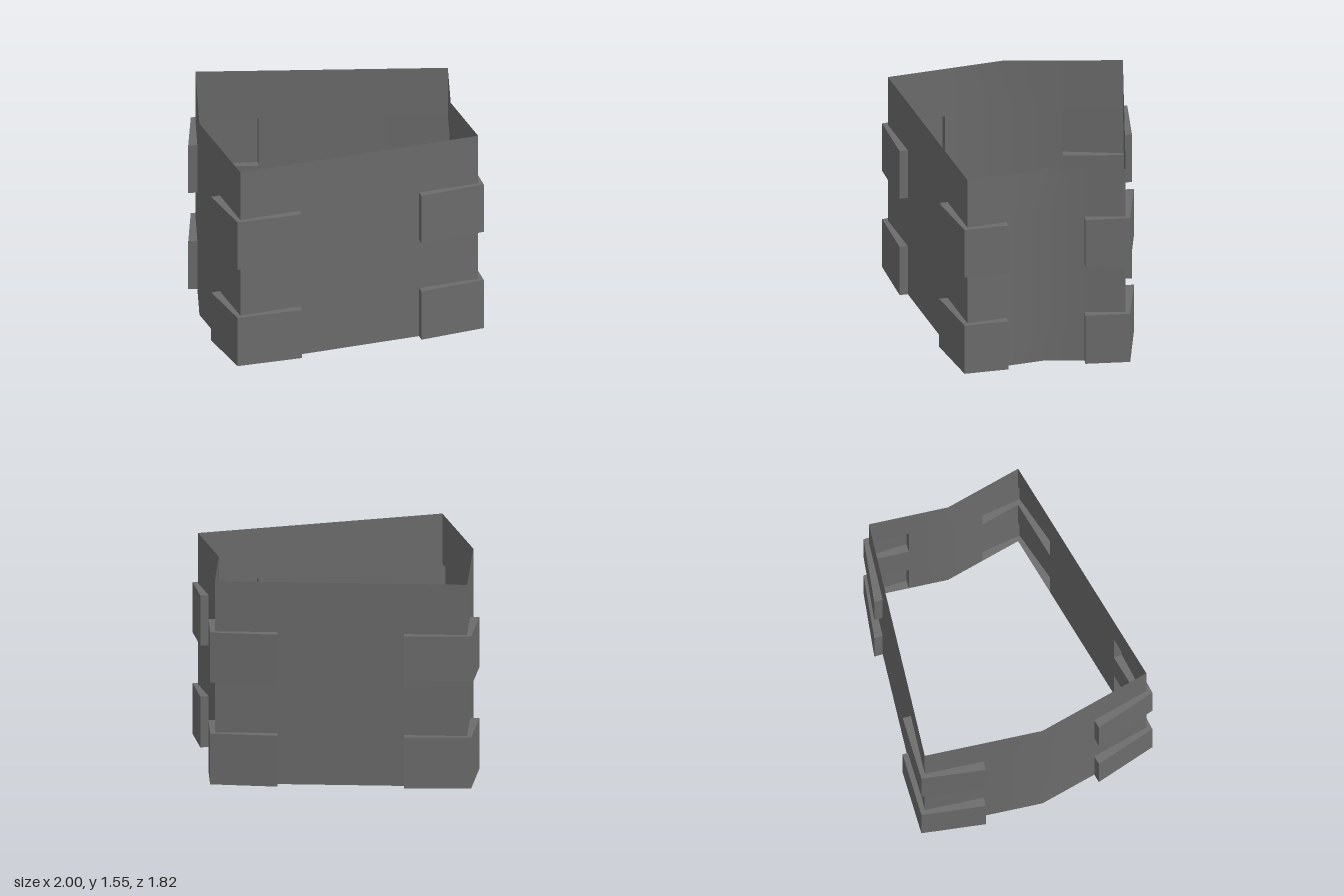
import * as THREE from 'three';

const material = new THREE.MeshStandardMaterial({ color: 0x6c6c6c, side: THREE.DoubleSide });
const levels = [0, 0.39, 0.78, 1.165, 1.55];

// Upright sheet along a path of [x, z] points; isOpen(column, row) leaves a gap
function makePanel(name, path, isOpen) {
  const positions = [], index = [];
  const rows = levels.length;
  for (const [x, z] of path) for (const y of levels) positions.push(x, y, z);
  for (let i = 0; i < path.length - 1; i++) {
    for (let j = 0; j < rows - 1; j++) {
      if (isOpen(i, j)) continue;
      const a = i * rows + j, b = a + rows;
      index.push(b, a, a + 1, b, a + 1, b + 1);
    }
  }
  const geometry = new THREE.BufferGeometry();
  geometry.setAttribute('position', new THREE.Float32BufferAttribute(positions, 3));
  geometry.setIndex(index);
  geometry.computeVertexNormals();
  const mesh = new THREE.Mesh(geometry, material);
  mesh.name = name;
  return mesh;
}

// Raised L-shaped corner block, hollow and open toward the inside
function makeCornerBlock(name, inner, outer, y0, y1) {
  const positions = [];
  const quad = (a, b, c, d) => positions.push(...a, ...b, ...c, ...a, ...c, ...d);
  const at = ([x, z], y) => [x, y, z];
  for (let i = 0; i < 2; i++) {
    const [p, q, r, s] = [inner[i], inner[i + 1], outer[i], outer[i + 1]];
    quad(at(s, y0), at(r, y0), at(r, y1), at(s, y1)); // outer face
    quad(at(s, y1), at(r, y1), at(p, y1), at(q, y1)); // top
    quad(at(q, y0), at(p, y0), at(r, y0), at(s, y0)); // underside
  }
  quad(at(outer[0], y0), at(inner[0], y0), at(inner[0], y1), at(outer[0], y1));
  quad(at(inner[2], y0), at(outer[2], y0), at(outer[2], y1), at(inner[2], y1));
  const geometry = new THREE.BufferGeometry();
  geometry.setAttribute('position', new THREE.Float32BufferAttribute(positions, 3));
  geometry.computeVertexNormals();
  const mesh = new THREE.Mesh(geometry, material);
  mesh.name = name;
  return mesh;
}

// Front-to-back mirror that keeps the winding
const mirror = (path) => path.map(([x, z]) => [x, -z]).reverse();

export function createModel() {
  const group = new THREE.Group();
  group.name = 'towerWalls';

  // Corner outlines, front half
  const wide = {
    inner: [[-0.405, 0.8], [-0.863, 0.872], [-0.932, 0.435]],
    outer: [[-0.4, 0.862], [-0.89, 0.909], [-0.998, 0.445]],
  };
  const narrow = {
    inner: [[0.917, 0.29], [0.963, 0.587], [0.51, 0.658]],
    outer: [[0.978, 0.285], [1, 0.614], [0.515, 0.722]],
  };

  // Four walls, the two side walls bent at the middle
  const front = [narrow.inner[1], narrow.inner[2], wide.inner[0], wide.inner[1]];
  const wideHalf = wide.inner.slice(1);
  const narrowHalf = narrow.inner.slice(0, 2);
  const wideSide = [...wideHalf, [-1, 0], ...mirror(wideHalf)];
  const narrowSide = [...mirror(narrowHalf), [0.872, 0], ...narrowHalf];
  const openEnds = (path) => (i, j) => j % 2 === 0 && (i === 0 || i === path.length - 2);
  group.add(
    makePanel('frontWall', front, openEnds(front)),
    makePanel('backWall', mirror(front), openEnds(front)),
    makePanel('rightWall', wideSide, openEnds(wideSide)),
    makePanel('leftWall', narrowSide, openEnds(narrowSide)),
  );

  // Corner blocks, two levels on each corner
  for (const [side, corner] of [['Right', wide], ['Left', narrow]]) {
    for (const [level, row] of [['lower', 0], ['upper', 2]]) {
      const [y0, y1] = [levels[row], levels[row + 1]];
      group.add(
        makeCornerBlock(`${level}Front${side}Block`, corner.inner, corner.outer, y0, y1),
        makeCornerBlock(`${level}Back${side}Block`, mirror(corner.inner), mirror(corner.outer), y0, y1),
      );
    }
  }
  return group;
}
